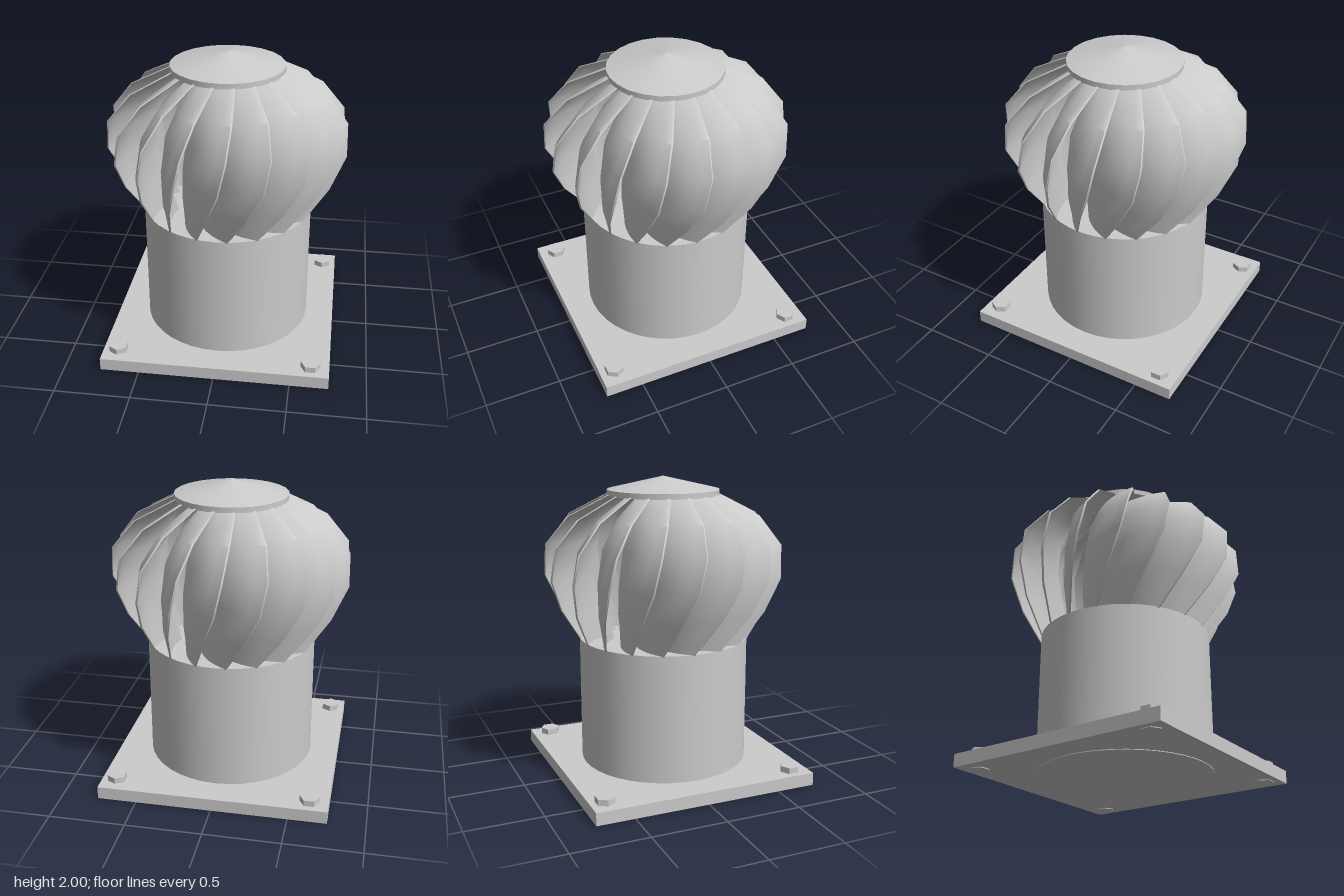
import * as THREE from 'three';
import { toCreasedNormals } from 'three/addons/utils/BufferGeometryUtils.js';

const BLADES = 18;
const rad = THREE.MathUtils.degToRad;

// Outer edge of a blade: height, radius, twist in degrees
const EDGE = [
  [0.93, 0.565, -13], [1.15, 0.70, -3.5], [1.36, 0.785, 3], [1.57, 0.775, 6.5],
  [1.75, 0.63, 9.5], [1.89, 0.36, 14],
];

const polar = (r, deg) => new THREE.Vector2(r * Math.sin(rad(deg)), r * Math.cos(rad(deg)));

// Twisted scoop: a bowed thin section runs from the outer edge in behind the next blade
function bladeGeometry() {
  const n = 6, loop = 2 * (n + 1), half = 0.006;
  const pos = [], index = [];
  for (const [y, r, twist] of EDGE) {
    const inner = polar(r * 0.62, twist - 30);
    const outer = polar(r, twist);
    const chord = outer.clone().sub(inner).normalize();
    const normal = new THREE.Vector2(-chord.y, chord.x);
    const put = (s, side) => {
      const p = inner.clone().lerp(outer, s);
      p.addScaledVector(normal, r * 0.2 * s * (1 - s) + side * half);
      pos.push(p.x, y, p.y);
    };
    for (let j = 0; j <= n; j++) put(j / n, 1);
    for (let j = n; j >= 0; j--) put(j / n, -1);
  }
  const quad = (a, b, c, d) => index.push(a, b, c, a, c, d);
  for (let i = 0; i < EDGE.length - 1; i++) {
    for (let j = 0; j < loop; j++) {
      const k = (j + 1) % loop, lo = i * loop, hi = lo + loop;
      quad(lo + j, lo + k, hi + k, hi + j);
    }
  }
  // End strips at the bottom and top
  const top = (EDGE.length - 1) * loop;
  for (let j = 0; j < n; j++) {
    const a = j, b = j + 1, c = loop - 2 - j, d = loop - 1 - j;
    quad(d, c, b, a);
    quad(top + a, top + b, top + c, top + d);
  }
  const geo = new THREE.BufferGeometry();
  geo.setAttribute('position', new THREE.Float32BufferAttribute(pos, 3));
  geo.setIndex(index);
  return toCreasedNormals(geo, rad(50));
}

export function createModel() {
  const group = new THREE.Group();
  const material = new THREE.MeshStandardMaterial({ color: 0xcccccc });

  const add = (name, geo, y = 0, parent = group) => {
    const mesh = new THREE.Mesh(geo, material);
    mesh.name = name;
    mesh.position.y = y;
    parent.add(mesh);
    return mesh;
  };

  // Square mounting plate and neck pipe
  add('basePlate', new THREE.BoxGeometry(1.51, 0.085, 1.51), 0.0475);
  add('neckPipe', new THREE.CylinderGeometry(0.565, 0.565, 0.935, 40), 0.4675);

  // Hexagonal bolts, one per corner
  const boltGeo = new THREE.CylinderGeometry(0.065, 0.065, 0.13, 6);
  const boltGeoSharp = toCreasedNormals(boltGeo, rad(30));
  for (let k = 0; k < 4; k++) {
    const corner = new THREE.Group();
    corner.name = 'boltCorner';
    corner.rotation.y = k * Math.PI / 2;
    const bolt = add('bolt', boltGeoSharp, 0.065, corner);
    bolt.position.x = 0.655;
    bolt.position.z = -0.632;
    group.add(corner);
  }

  // Ring of turbine blades
  const turbine = new THREE.Group();
  turbine.name = 'turbine';
  const blade = bladeGeometry();
  for (let k = 0; k < BLADES; k++) {
    add('blade', blade, 0, turbine).rotation.y = k * 2 * Math.PI / BLADES;
  }
  group.add(turbine);

  // Shallow conical cap on a thin rim
  add('capRim', new THREE.CylinderGeometry(0.37, 0.37, 0.035, 24), 1.8975);
  add('capCone', new THREE.ConeGeometry(0.37, 0.085, 24), 1.9575);

  return group;
}
